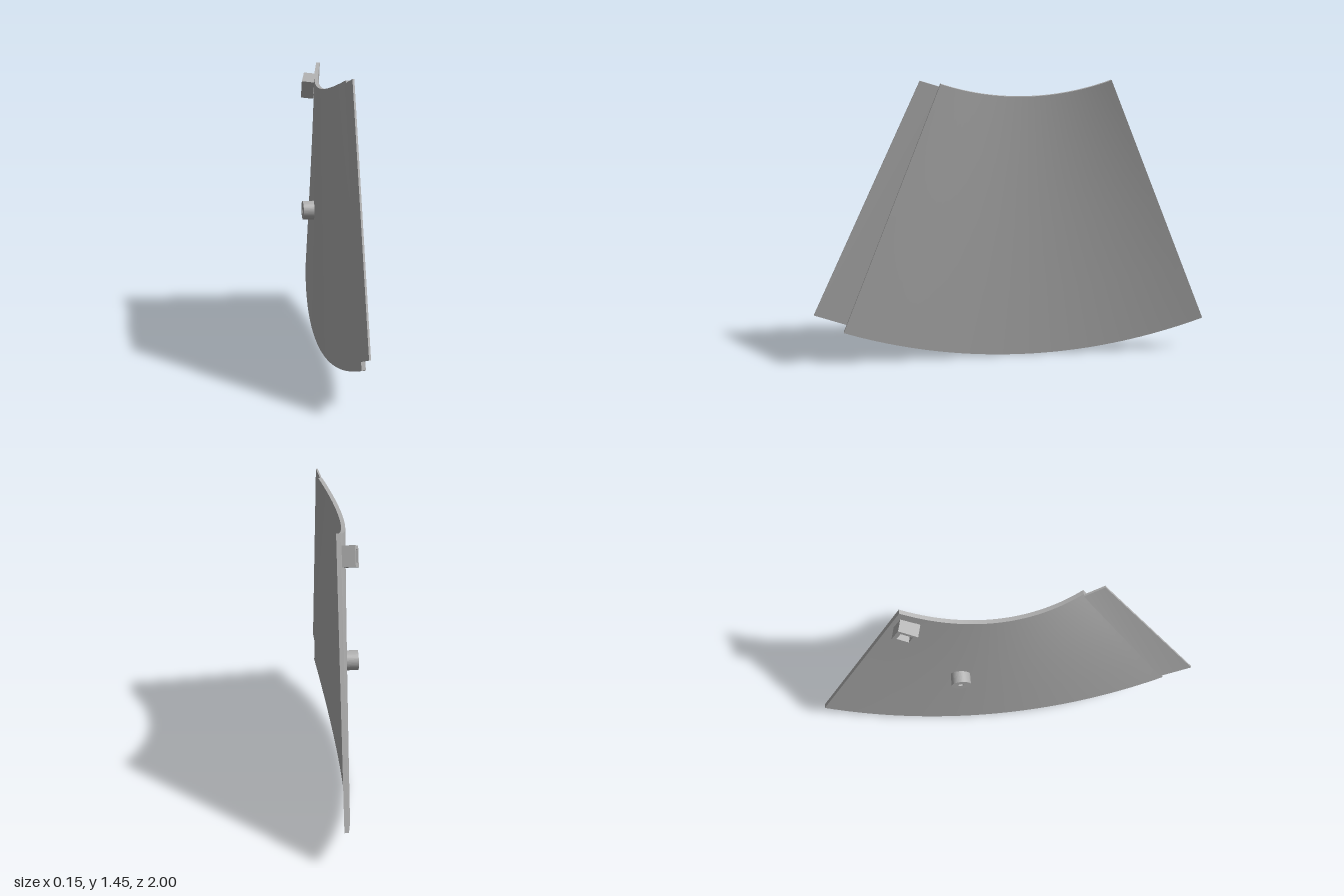
import * as THREE from 'three';

const APEX_Y = 2.48, MID_Z = -0.072, HALF_ANGLE = 0.3828;
const R_TOP = 1.13, R_BOTTOM = 2.48;

// Subdivided unit box whose vertices are moved by a rule; faces keep sharp borders
function mappedBox(ySegs, zSegs, rule) {
  const g = new THREE.BoxGeometry(1, 1, 1, 1, ySegs, zSegs);
  const p = g.attributes.position;
  for (let i = 0; i < p.count; i++) {
    const [x, y, z] = rule(p.getX(i), p.getY(i), p.getZ(i));
    p.setXYZ(i, x, y, z);
  }
  g.computeVertexNormals();
  return g;
}

const lerp = THREE.MathUtils.lerp;

export function createModel() {
  const model = new THREE.Group();
  const grey = new THREE.MeshStandardMaterial({ color: 0xb0b0b0 });
  grey.name = 'light grey';
  const add = (name, geometry) => {
    const mesh = new THREE.Mesh(geometry, grey);
    mesh.name = name;
    model.add(mesh);
    return mesh;
  };

  // Ring sector, bowed along its width
  add('curvedPanel', mappedBox(4, 40, (u, v, w) => {
    const t = w * 2, s = v + 0.5;
    const r = lerp(R_BOTTOM, R_TOP, s);
    const a = t * HALF_ANGLE;
    const x = -0.012 + 0.02 * u + 0.063 * t * t + 0.008 * s * t * t * t;
    return [x, APEX_Y - r * Math.cos(a), MID_Z + r * Math.sin(a)];
  }));

  // Thin overlap strip along the front edge, set back from the inner face
  add('edgeFlange', mappedBox(1, 1, (u, v, w) => {
    const s = v + 0.5, k = w + 0.5;
    const x = lerp(lerp(0.041, 0.052, k), lerp(0.048, 0.068, k), s);
    const y = lerp(lerp(0.215, 0.278, k), lerp(1.415, 1.45, k), s);
    const z = lerp(lerp(0.835, 1.0, k), lerp(0.35, 0.45, k), s);
    return [x + u * 0.009, y, z];
  }));

  // Hollow round boss on the outer face
  const ring = new THREE.Shape().absarc(0, 0, 0.049, 0, Math.PI * 2);
  ring.holes.push(new THREE.Path().absarc(0, 0, 0.015, 0, Math.PI * 2, true));
  const boss = add('mountingBoss', new THREE.ExtrudeGeometry(ring, {
    depth: 0.063, bevelEnabled: false, curveSegments: 24,
  }));
  boss.rotation.y = -Math.PI / 2;
  boss.position.set(-0.013, 0.685, -0.246);

  // Square socket at the upper rear corner, aligned with the slanted edge
  const h = 0.049, q = 0.03;
  const square = new THREE.Shape([[-h, -h], [h, -h], [h, h], [-h, h]].map((c) => new THREE.Vector2(...c)));
  square.holes.push(new THREE.Path([[-q, -q], [-q, q], [q, q], [q, -q]].map((c) => new THREE.Vector2(...c))));
  const socket = add('cornerSocket', new THREE.ExtrudeGeometry(square, { depth: 0.065, bevelEnabled: false }));
  const along = new THREE.Vector3(0, 0.922, 0.386).normalize();
  const inward = new THREE.Vector3(-0.24, -0.375, 0.895).normalize();
  const out = new THREE.Vector3().crossVectors(inward, along).normalize();
  socket.quaternion.setFromRotationMatrix(new THREE.Matrix4().makeBasis(inward, along, out));
  socket.position.set(0.02, 1.309, -0.468);

  return model;
}
